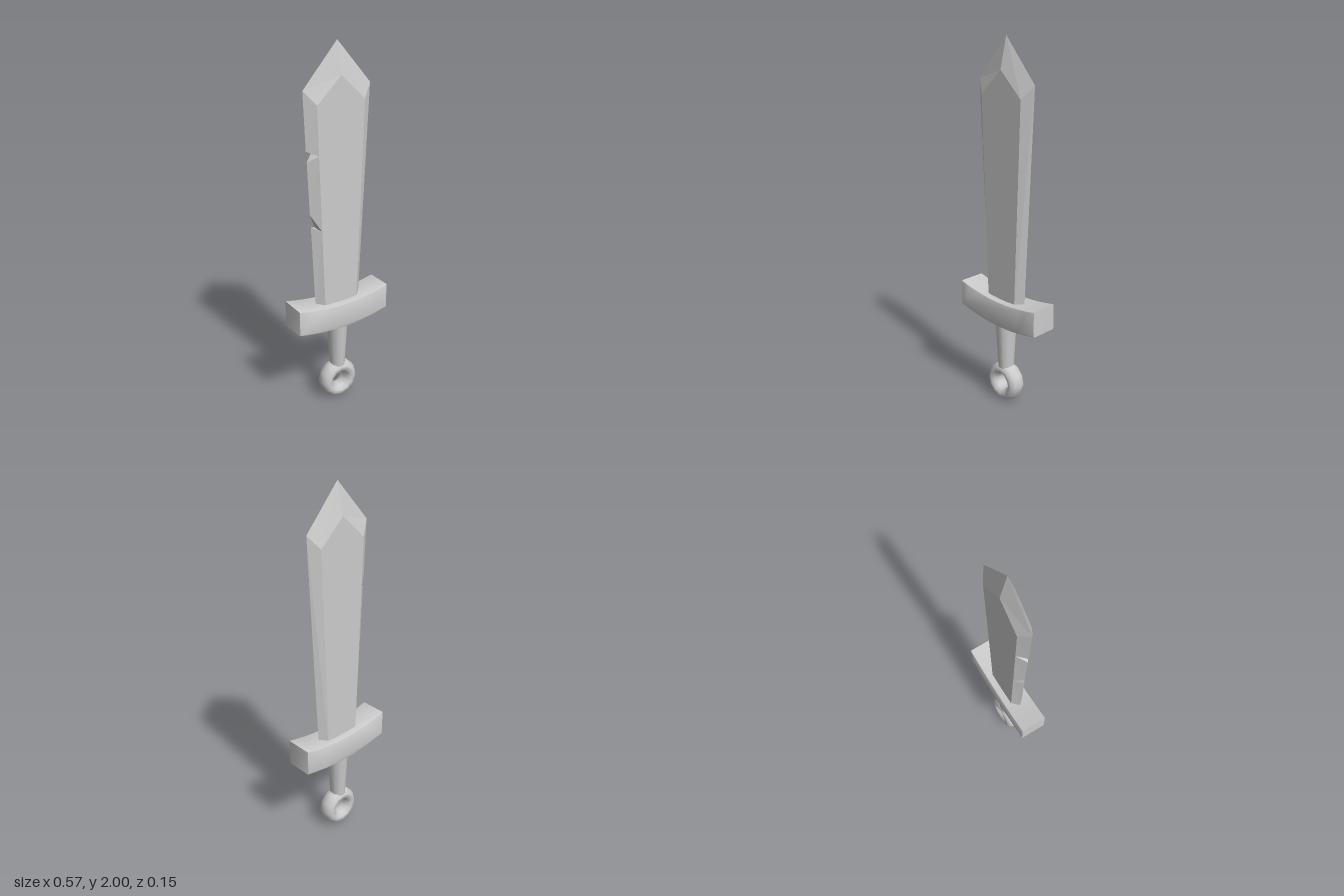
import * as THREE from 'three';
import { toCreasedNormals } from 'three/addons/utils/BufferGeometryUtils.js';

const grey = new THREE.MeshStandardMaterial({ color: 0xcccccc });
const greyFlat = new THREE.MeshStandardMaterial({ color: 0xcccccc, flatShading: true });

// Blade: a thin cutting edge at z = 0 and a raised flat on either side, joined by bevels.
function bladeGeometry() {
  const half = 0.038;
  // Each row: edge x, edge y, flat x, flat y; counter-clockwise seen from the front
  const rows = [
    [0.138, 0.58, 0.099, 0.58],
    [0.196, 1.78, 0.139, 1.71],
    [0, 2, 0, 1.84],
    [-0.196, 1.78, -0.139, 1.71],
    // upper nick
    [-0.183, 1.485, -0.131, 1.46],
    [-0.134, 1.46, -0.131, 1.46],
    [-0.179, 1.43, -0.131, 1.46],
    // lower nick
    [-0.166, 1.15, -0.117, 1.06],
    [-0.12, 1.06, -0.117, 1.06],
    [-0.161, 1.08, -0.117, 1.06],
    [-0.138, 0.58, -0.099, 0.58],
  ];
  const points = [];
  const tri = (a, b, c) => points.push(...a, ...b, ...c);
  rows.forEach((p, i) => {
    const q = rows[(i + 1) % rows.length];
    const sharedFlat = p[2] === q[2] && p[3] === q[3];
    for (const side of [1, -1]) {
      const z = side * half;
      const put = (a, b, c) => (side > 0 ? tri(a, b, c) : tri(a, c, b));
      const edgeP = [p[0], p[1], 0], edgeQ = [q[0], q[1], 0];
      const flatP = [p[2], p[3], z], flatQ = [q[2], q[3], z];
      put(edgeP, edgeQ, flatP);
      if (sharedFlat) continue;
      put(edgeQ, flatQ, flatP);
      put([0, 1.2, z], flatP, flatQ);
    }
  });
  const geometry = new THREE.BufferGeometry();
  geometry.setAttribute('position', new THREE.Float32BufferAttribute(points, 3));
  geometry.computeVertexNormals();
  return geometry;
}

// Guard: a bar bowed upwards at both ends, with lightly softened edges
function guardGeometry() {
  const bevel = 0.007, w = 0.284 - bevel, rise = 0.034;
  const low = 0.481 + bevel, high = 0.625 - bevel;
  const shape = new THREE.Shape();
  shape.moveTo(-w, low + rise);
  shape.quadraticCurveTo(0, low - rise, w, low + rise);
  shape.lineTo(w, high + rise);
  shape.quadraticCurveTo(0, high - rise, -w, high + rise);
  const depth = 2 * (0.076 - bevel);
  const geometry = new THREE.ExtrudeGeometry(shape, {
    depth, curveSegments: 10, bevelEnabled: true,
    bevelThickness: bevel, bevelSize: bevel, bevelSegments: 2,
  });
  geometry.translate(0, 0, -depth / 2);
  return toCreasedNormals(geometry, 0.7);
}

export function createModel() {
  const group = new THREE.Group();
  const add = (name, geometry, material = grey) => {
    const mesh = new THREE.Mesh(geometry, material);
    mesh.name = name;
    group.add(mesh);
  };

  add('blade', bladeGeometry(), greyFlat);
  add('guard', guardGeometry());

  // Tapered oval grip
  const grip = new THREE.CylinderGeometry(0.057, 0.041, 0.31, 12);
  grip.scale(1, 1, 1.12);
  grip.translate(0, 0.355, 0);
  add('grip', grip);

  // Ring pommel, deeper than its band is wide
  const ring = new THREE.TorusGeometry(0.078, 0.036, 10, 12);
  ring.scale(1, 1, 1.42);
  ring.translate(0, 0.116, 0);
  add('pommelRing', ring);

  return group;
}
